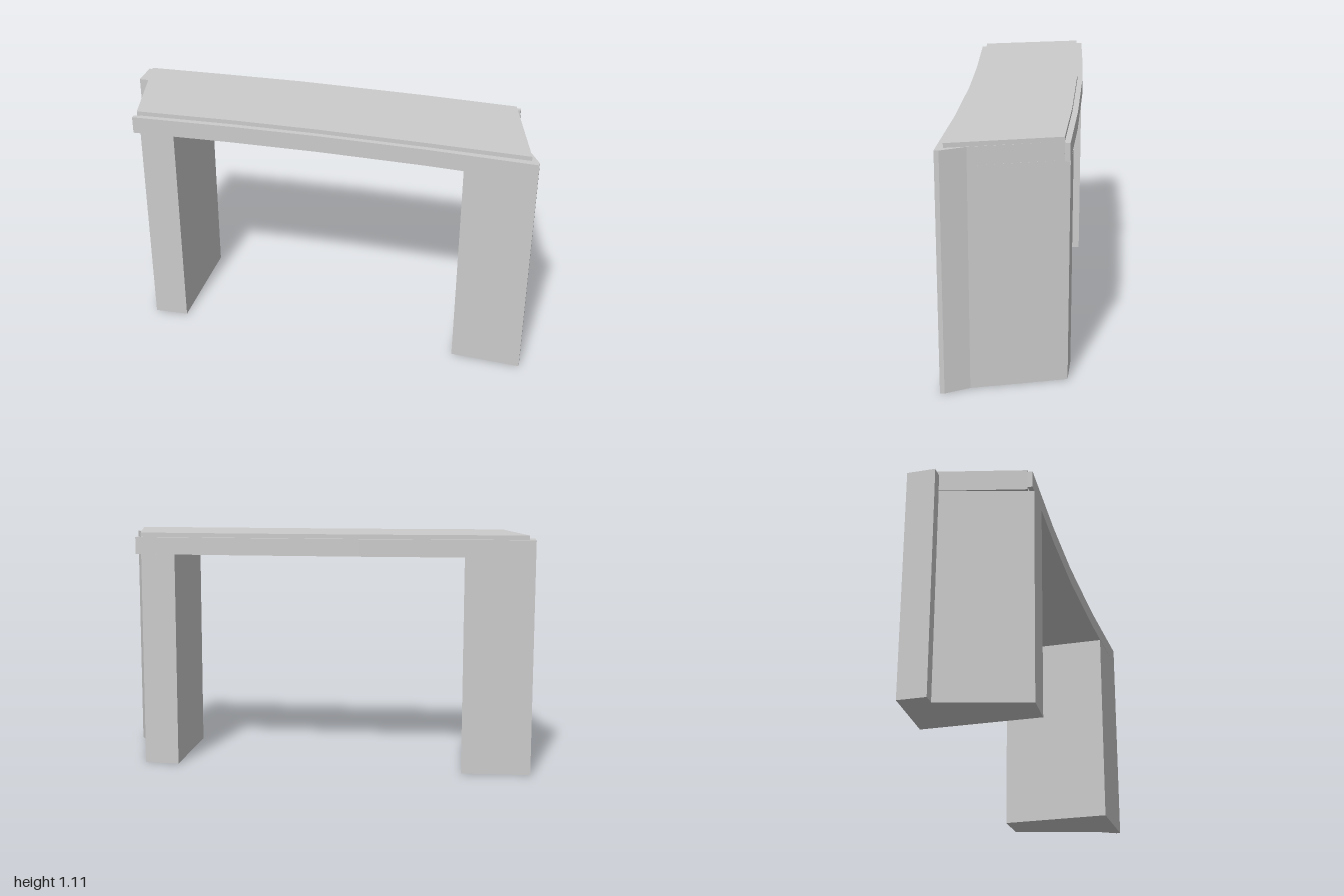
import * as THREE from 'three';

const material = new THREE.MeshStandardMaterial({ color: 0xcccccc, flatShading: true });

// Upright prism: plan outline as [x, z] points, raised from y0 to y1
function prism(name, outline, y0, y1) {
  const shape = new THREE.Shape(outline.map(([x, z]) => new THREE.Vector2(x, -z)));
  const geometry = new THREE.ExtrudeGeometry(shape, { depth: y1 - y0, bevelEnabled: false });
  geometry.rotateX(-Math.PI / 2).translate(0, y0, 0);
  const mesh = new THREE.Mesh(geometry, material);
  mesh.name = name;
  return mesh;
}

export function createModel() {
  const group = new THREE.Group();
  group.name = 'archway';

  // Pillar with a flared front corner
  group.add(prism('leftPillar', [
    [1, 0.285], [1, 0.265], [0.945, 0.16], [0.887, -0.07],
    [0.838, -0.256], [0.675, -0.264], [0.675, 0.267],
  ], 0, 1.01));

  // Pillar with a square rear return
  group.add(prism('rightPillar', [
    [-1, -0.265], [-1, -0.135], [-0.945, -0.135],
    [-0.84, 0.271], [-0.68, 0.265], [-0.68, -0.274],
  ], 0, 1.01));

  // Gently curved lintel spanning both pillars, with small end lips
  group.add(prism('lintel', [
    [-1, -0.265], [-0.6, -0.277], [-0.2, -0.285], [0.4, -0.275], [0.865, -0.255],
    [0.865, -0.233], [0.844, -0.233], [0.945, 0.16], [1, 0.265], [1, 0.285],
    [0.5, 0.26], [0, 0.25], [-0.4, 0.255], [-0.875, 0.272],
    [-0.875, 0.25], [-0.846, 0.25], [-0.945, -0.135], [-1, -0.135],
  ], 1.01, 1.09));

  // Roof slab, stepped in from the front and back faces
  group.add(prism('roofSlab', [
    [-0.97, -0.237], [-0.6, -0.25], [-0.2, -0.26], [0.4, -0.25], [0.845, -0.231],
    [0.965, 0.252], [0.5, 0.235], [0, 0.225], [-0.4, 0.228], [-0.86, 0.246],
  ], 1.01, 1.11));

  return group;
}
